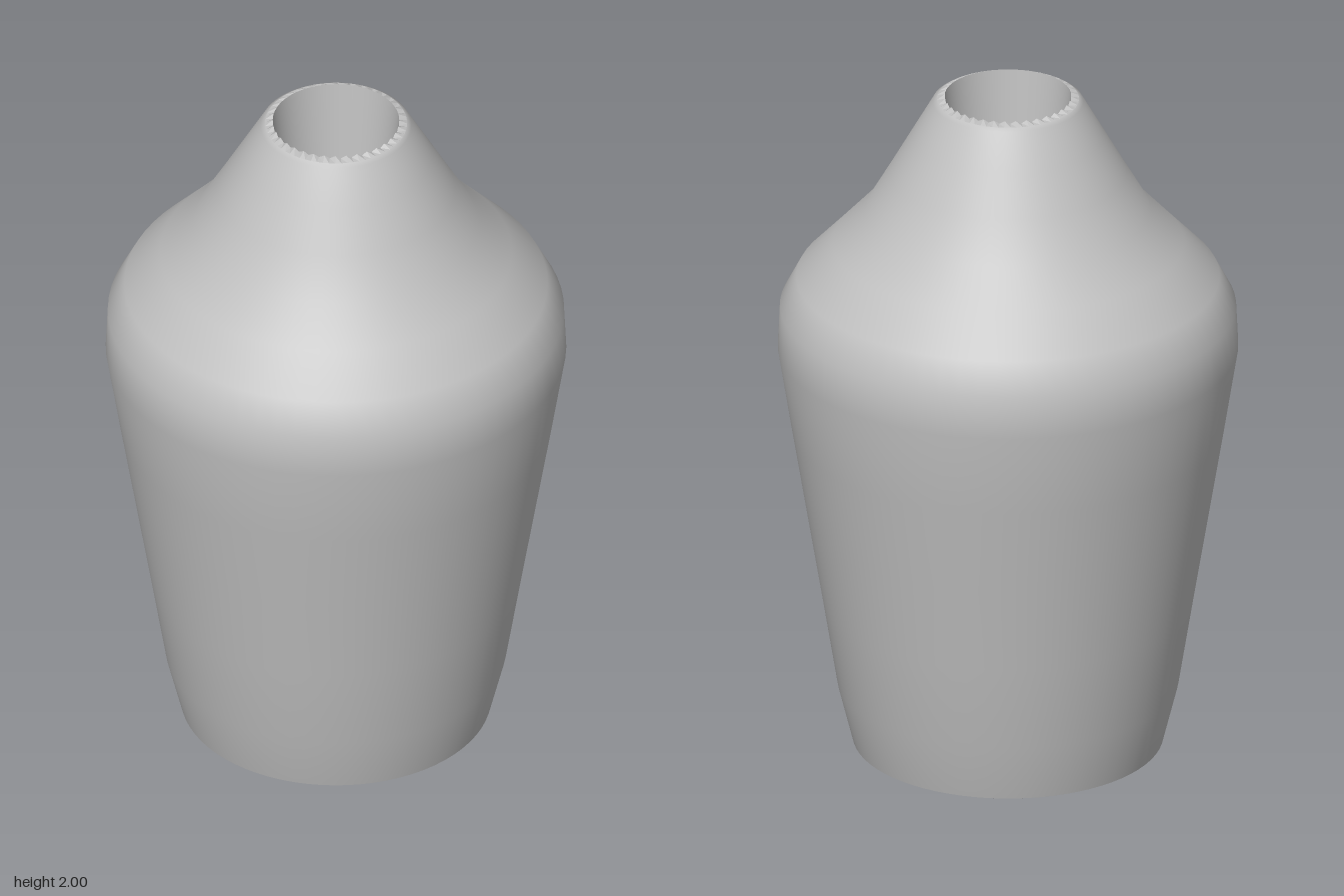
import * as THREE from 'three';

const SEGMENTS = 72;

// Surface of revolution; points run up the outside, then down the inside
function turned(name, points, material) {
  const profile = points.map(([r, y]) => new THREE.Vector2(r, y));
  const mesh = new THREE.Mesh(new THREE.LatheGeometry(profile, SEGMENTS), material);
  mesh.name = name;
  return mesh;
}

// Flat-faced ring whose chosen row is moved in and out on every other segment
function pleated(name, points, row, depth, lift, material) {
  const mesh = turned(name, points, material);
  const position = mesh.geometry.attributes.position;
  for (let i = 0; i <= SEGMENTS; i++) {
    if (i % 2 === 0) continue;
    const index = i * points.length + row;
    const radius = points[row][0];
    const scale = (radius - depth) / radius;
    position.setXYZ(index, position.getX(index) * scale, position.getY(index) + lift, position.getZ(index) * scale);
  }
  mesh.geometry = mesh.geometry.toNonIndexed();
  mesh.geometry.computeVertexNormals();
  return mesh;
}

export function createModel() {
  const vase = new THREE.Group();
  vase.name = 'vase';
  const clay = new THREE.MeshStandardMaterial({ color: 0xc0c0c0 });
  clay.name = 'grey clay';

  // Tapered body, rounded shoulder and conical neck
  vase.add(turned('body', [
    [0.437, 0.028], [0.48, 0.2], [0.522, 0.46], [0.565, 0.72], [0.608, 0.98],
    [0.648, 1.23], [0.642, 1.355], [0.595, 1.445], [0.495, 1.55],
    [0.402, 1.65], [0.335, 1.765], [0.27, 1.88], [0.212, 1.982], [0.2, 1.99],
  ], clay));

  // Foot with a pleated bevel around the flat base
  vase.add(pleated('footBevel', [[0.375, 0], [0.437, 0.028]], 0, 0.025, 0, clay));
  vase.add(pleated('base', [[0, 0], [0.375, 0]], 1, 0.025, 0, clay));

  // Finely scalloped lip
  vase.add(pleated('lip', [[0.2, 1.99], [0.178, 2]], 1, 0, -0.008, clay));

  // Deep hollow, narrowing towards the floor
  vase.add(turned('hollow', [[0.178, 2], [0.12, 1.4], [0.06, 0.75], [0, 0.1]], clay));

  return vase;
}
